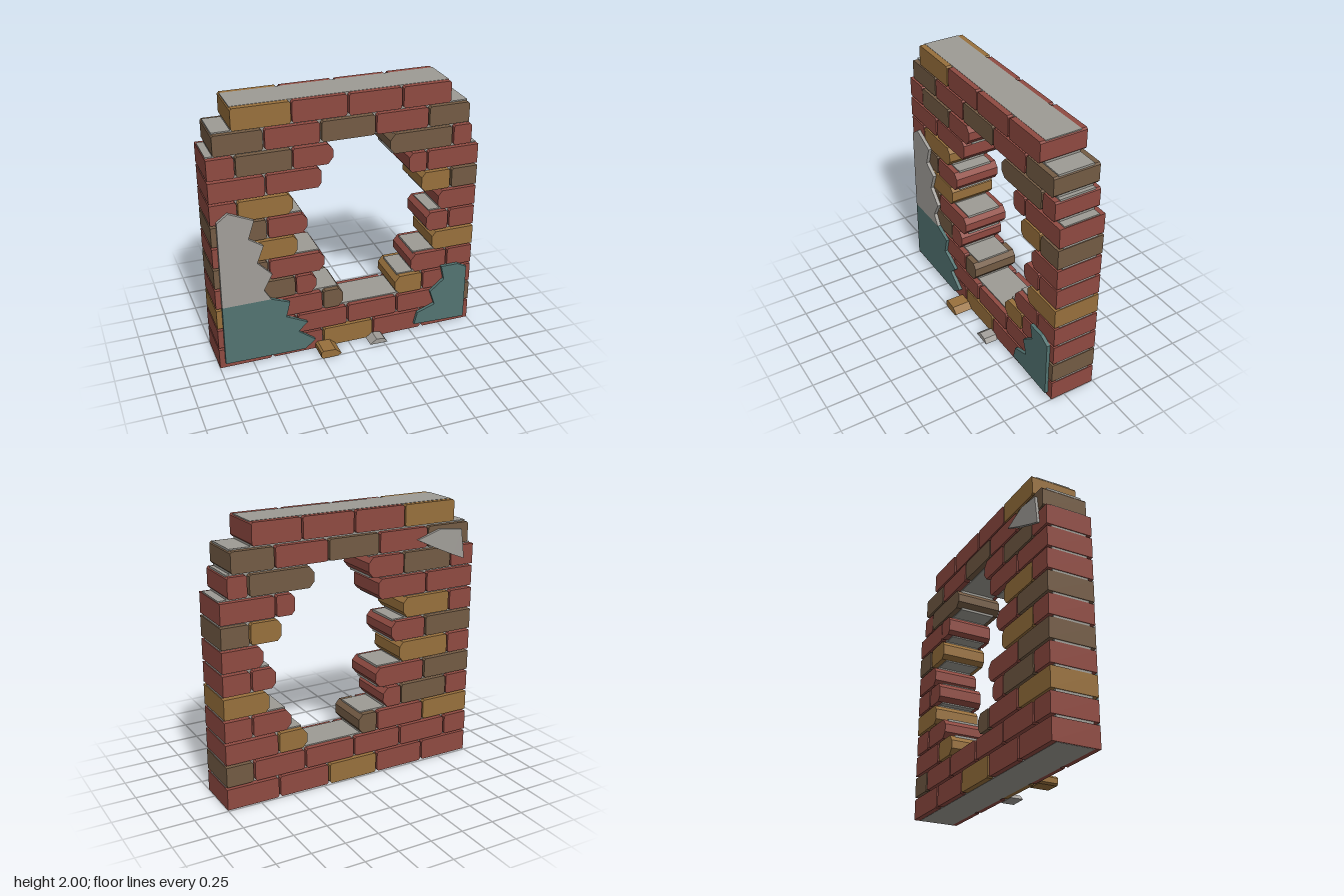
import * as THREE from 'three';

const mat = (name, color) => {
  const m = new THREE.MeshStandardMaterial({ color });
  m.name = name;
  return m;
};

// x start, x end, colour of each brick, from the bottom course up
const COURSES = [
  [[-1, -0.607, 'R'], [-0.593, -0.207, 'R'], [-0.193, 0.193, 'O'], [0.207, 0.593, 'R'], [0.607, 1, 'R']],
  [[-1, -0.807, 'R'], [-0.793, -0.407, 'R'], [-0.393, -0.015, 'R'], [0, 0.385, 'R'], [0.4, 0.785, 'R'], [0.8, 1, 'B']],
  [[-1, -0.607, 'O'], [-0.593, -0.207, 'R'], [-0.193, -0.045, 'B'], [0.375, 0.593, 'O'], [0.607, 1, 'R']],
  [[-1, -0.81, 'R'], [-0.8, -0.41, 'B'], [-0.4, -0.25, 'R'], [0.5, 0.785, 'R'], [0.8, 1, 'R']],
  [[-1, -0.607, 'B'], [-0.593, -0.185, 'R'], [0.665, 1, 'O']],
  [[-1, -0.81, 'R'], [-0.8, -0.385, 'O'], [0.612, 0.785, 'R'], [0.8, 1, 'R']],
  [[-1, -0.607, 'B'], [-0.593, -0.31, 'R'], [0.7, 1, 'R']],
  [[-1, -0.81, 'R'], [-0.8, -0.41, 'O'], [0.562, 0.785, 'O'], [0.8, 1, 'B']],
  [[-1, -0.607, 'R'], [-0.593, -0.2, 'R'], [0.46, 0.595, 'R'], [0.607, 1, 'R']],
  [[-1, -0.81, 'R'], [-0.8, -0.41, 'B'], [-0.4, -0.115, 'R'], [0.31, 0.785, 'B'], [0.8, 0.94, 'R']],
  [[-0.95, -0.607, 'B'], [-0.593, -0.207, 'R'], [-0.193, 0.193, 'B'], [0.207, 0.593, 'R'], [0.605, 0.912, 'B']],
  [[-0.82, -0.41, 'O'], [-0.4, -0.012, 'R'], [0.003, 0.388, 'R'], [0.402, 0.76, 'R']],
];

export function createModel() {
  const group = new THREE.Group();
  group.name = 'brokenBrickWall';
  const brickMats = {
    R: mat('red brick', 0x8f4a41),
    O: mat('ochre brick', 0x98703c),
    B: mat('brown brick', 0x735b44),
  };
  const mortarMat = mat('mortar grey', 0x9d9b94);
  const plasterMat = mat('plaster grey', 0xa19e99);
  const tealMat = mat('teal paint', 0x527371);

  let seed = 7;
  const rand = () => (seed = (seed * 16807) % 2147483647) / 2147483647;

  // Flat outline in x and y, extruded from z0 to z1
  const slab = (name, points, z0, z1, material) => {
    const shape = new THREE.Shape(points.map(([x, y]) => new THREE.Vector2(x, y)));
    const geo = new THREE.ExtrudeGeometry(shape, { depth: z1 - z0, bevelEnabled: false });
    const mesh = new THREE.Mesh(geo, material);
    mesh.position.z = z0;
    mesh.name = name;
    group.add(mesh);
  };

  // Rectangle with cut corners; a is the cut on the left end, b on the right
  const cutRect = (x0, x1, y0, y1, a, b) => {
    const points = [];
    if (a) points.push([x0, y1 - a], [x0, y0 + a * 0.9], [x0 + a * 0.8, y0]);
    else points.push([x0, y1], [x0, y0]);
    if (b) points.push([x1 - b * 0.8, y0], [x1, y0 + b], [x1, y1 - b * 0.9], [x1 - b * 0.8, y1]);
    else points.push([x1, y0], [x1, y1]);
    if (a) points.push([x0 + a * 0.8, y1]);
    return points;
  };

  const pitch = 2 / COURSES.length;
  COURSES.forEach((course, row) => {
    const y0 = row * pitch, y1 = y0 + pitch;
    const last = course.length - 1;
    let start = course[0][0] + 0.006;
    course.forEach(([x0, x1, colour], i) => {
      // Ends facing the hole are broken, outer ends at the wall edge are square
      const openLeft = i > 0 && x0 - course[i - 1][1] > 0.1;
      const openRight = i < last && course[i + 1][0] - x1 > 0.1;
      const cut = (open, x) => (open ? 0.03 + rand() * 0.018 : Math.abs(x) === 1 ? 0 : 0.014);
      const bottom = row === 0 ? 0.002 : y0 + 0.009;
      const top = row === COURSES.length - 1 ? 1.998 : y1 - 0.009;
      slab('brick', cutRect(x0, x1, bottom, top, cut(openLeft, x0), cut(openRight, x1)),
        -0.237 - rand() * 0.006, 0.106 + rand() * 0.006, brickMats[colour]);

      // One mortar bed for each unbroken run of bricks
      if (openLeft) start = x0 + 0.03;
      if (openRight || i === last) {
        const end = x1 - (openRight ? 0.03 : 0.006);
        slab('mortarBed', [[start, y0], [end, y0], [end, y1], [start, y1]], -0.2, 0.07, mortarMat);
      }
    });
  });

  // Remaining plaster, painted teal along the foot of the wall
  slab('leftPlaster', [[-0.96, 0.525], [-0.6, 0.525], [-0.65, 0.61], [-0.585, 0.73], [-0.69, 0.84],
    [-0.64, 0.97], [-0.745, 1.04], [-0.7, 1.18], [-0.88, 1.26], [-0.96, 1.2]], 0.108, 0.134, plasterMat);
  slab('leftPaintedPlaster', [[-0.96, 0.045], [-0.35, 0.035], [-0.27, 0.1], [-0.4, 0.2], [-0.33, 0.27],
    [-0.49, 0.35], [-0.46, 0.47], [-0.6, 0.525], [-0.96, 0.525]], 0.108, 0.134, tealMat);
  slab('rightPaintedPlaster', [[0.535, 0.05], [0.955, 0.035], [0.955, 0.485], [0.88, 0.525], [0.745, 0.525],
    [0.77, 0.41], [0.66, 0.32], [0.7, 0.2], [0.56, 0.15]], 0.108, 0.134, tealMat);
  slab('backPlaster', [[-0.505, 1.74], [-0.7, 1.8], [-0.88, 1.78], [-0.91, 1.56], [-0.81, 1.6], [-0.65, 1.67]],
    -0.258, -0.235, plasterMat);

  // Fallen pieces in front of the wall
  slab('fallenBrick', [[-0.265, 0.012], [-0.25, 0], [-0.135, 0], [-0.108, 0.018], [-0.155, 0.06], [-0.25, 0.065],
    [-0.265, 0.05]], 0.115, 0.255, brickMats.O);
  slab('fallenPlaster', [[0.14, 0.004], [0.28, 0], [0.255, 0.035], [0.19, 0.045]], 0.115, 0.215, plasterMat);

  return group;
}
